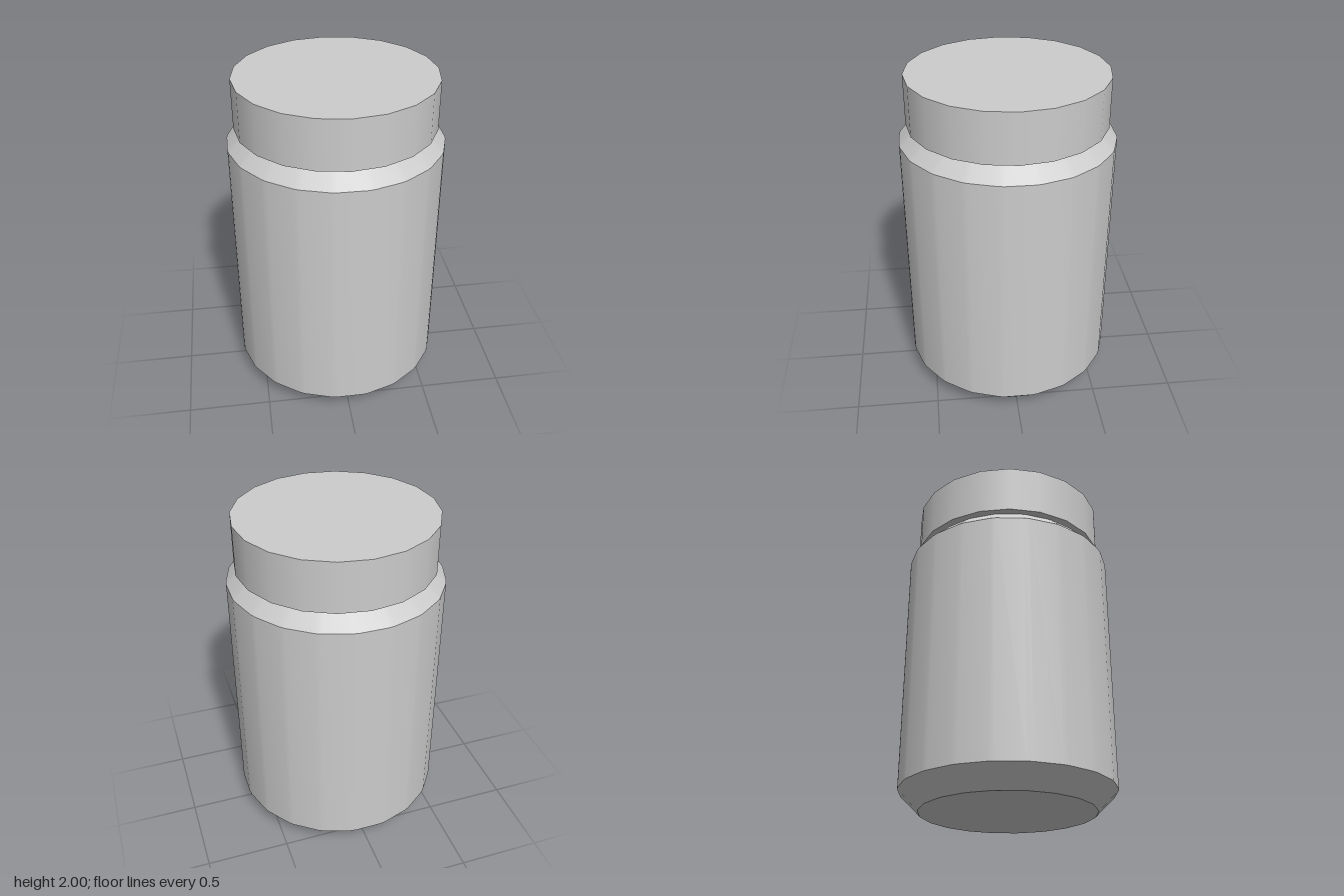
import * as THREE from 'three';
import { toCreasedNormals } from 'three/addons/utils/BufferGeometryUtils.js';

const SIDES = 20;

// Lathe whose ring is a polygon with slightly clipped corners; profile radii run to the flats
function facetedLathe(profile, clip) {
  const points = profile.map(([r, y]) => new THREE.Vector2(r, y));
  const geo = new THREE.LatheGeometry(points, SIDES * 2);
  const pos = geo.attributes.position;
  const step = (Math.PI * 2) / SIDES;
  for (let i = 0; i < pos.count; i++) {
    const ring = Math.floor(i / points.length);
    const [r, y] = profile[i % points.length];
    const angle = step * (Math.floor(ring / 2) + 0.5) + (ring % 2 ? clip : -clip);
    const radius = r / Math.cos(step / 2 - clip);
    pos.setXYZ(i, radius * Math.sin(angle), y, radius * Math.cos(angle));
  }
  return toCreasedNormals(geo, 0.5);
}

export function createModel() {
  const model = new THREE.Group();
  model.name = 'jar';
  const material = new THREE.MeshStandardMaterial({ color: 0xcccccc });

  // Jar body with sloped foot and shoulder, closed under the lid
  const body = new THREE.Mesh(
    facetedLathe([[0, 0], [0.515, 0], [0.635, 0.12], [0.635, 1.605], [0.515, 1.725], [0, 1.725]],
      THREE.MathUtils.degToRad(1.5)),
    material
  );
  body.name = 'body';
  model.add(body);

  // Flat lid, turned half a side against the body
  const lid = new THREE.Mesh(new THREE.CylinderGeometry(0.592, 0.592, 0.3, SIDES), material);
  lid.position.y = 1.85;
  lid.name = 'lid';
  model.add(lid);

  return model;
}
